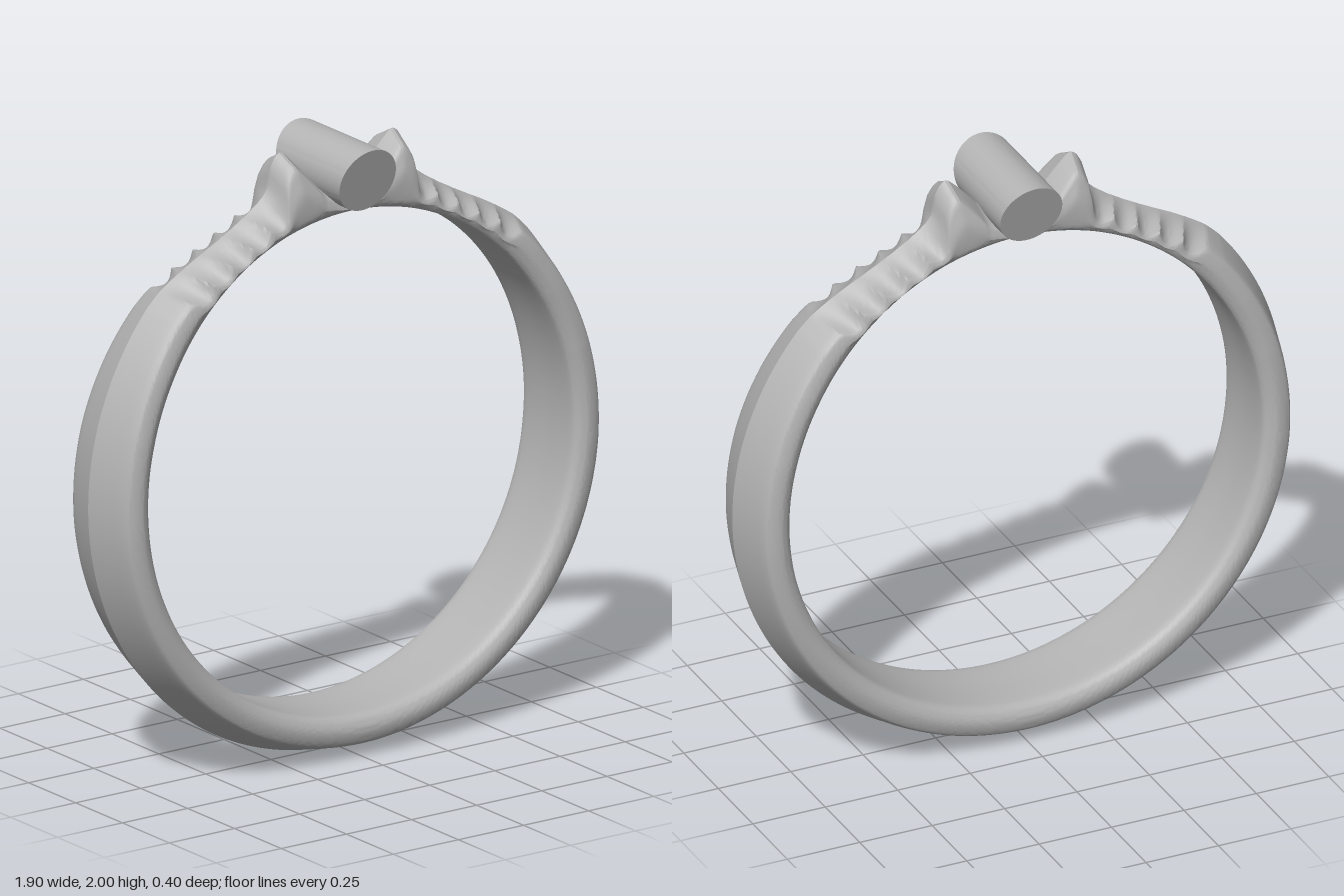
import * as THREE from 'three';
import { toCreasedNormals } from 'three/addons/utils/BufferGeometryUtils.js';

const CY = 0.955, INNER = 0.815;

// Linear lookup in a list of [key, value] pairs
function lookup(table, x) {
  for (let i = 1; i < table.length; i++) {
    const [x0, y0] = table[i - 1], [x1, y1] = table[i];
    if (x <= x1) return y0 + (y1 - y0) * Math.max(0, (x - x0) / (x1 - x0));
  }
  return table[table.length - 1][1];
}

// Ridge radius by degrees from the top: saddle, pointed peak, carved shoulder, plain band
const RIDGE = [
  [0, 0.86], [3, 0.88], [6.8, 0.93], [10.4, 1.022], [11.4, 1.046], [12.2, 1.051], [13.2, 1.04],
  [14.6, 1.012], [15.2, 0.985], [16, 0.957], [17.2, 0.94], [19, 0.927], [22, 0.914], [26, 0.906],
  [30, 0.905], [34, 0.91], [40, 0.926], [46, 0.945], [50, 0.95], [180, 0.955],
];
// Half width of the band by degrees from the top
const WIDTH = [[0, 0.1], [18, 0.104], [30, 0.112], [46, 0.127], [60, 0.143], [75, 0.155], [95, 0.162], [180, 0.163]];

// Depth of the leaf-like scallops along the edges of the shoulders
function scallop(deg, u) {
  const start = 17.5, end = 46.5, d = deg + 2 * u;
  if (d < start || d > end) return 0;
  const t = ((d - start) / (end - start)) * 5;
  return Math.abs(Math.sin(Math.PI * t)) * 0.032 * Math.min(1, u * 1.1);
}

// Half cross-section from the outer ridge round to the middle of the inside
function halfSection(deg, steps) {
  const R = lookup(RIDGE, deg), w = lookup(WIDTH, deg);
  const peak = THREE.MathUtils.clamp((R - 0.955) / 0.09, 0, 1);
  const thick = R - INNER;
  const drop = Math.min(0.043, thick * 0.35);
  const v = (u, r) => new THREE.Vector2(u * w, r);
  const shoulder = 0.86 - 0.16 * peak;
  const anchors = [
    v(0, R), v(shoulder * 0.5, R - drop * 0.48), v(shoulder, R - drop),
    v(0.96 - 0.1 * peak, R - drop * 1.4 - 0.02 * peak),
    v(1, R - drop * 2.1 - 0.04 * peak),
    v(0.97, INNER + 0.028), v(0.88, INNER + 0.008), v(0.7, INNER), v(0, INNER),
  ];
  const curve = new THREE.SplineCurve(anchors);
  const points = [];
  for (let i = 0; i <= steps; i++) {
    const p = curve.getPoint(i / steps);
    const weight = THREE.MathUtils.clamp((p.y - INNER - 0.015) / (thick * 0.5), 0, 1);
    p.y -= scallop(deg, Math.min(1, p.x / w)) * weight;
    points.push(p);
  }
  return points;
}

// Band swept once round the finger, with its shoulders and peaks
function bandGeometry() {
  const around = 600, half = 24, ring = half * 2;
  const positions = [], index = [];
  for (let i = 0; i < around; i++) {
    const a = (i / around) * Math.PI * 2;
    const deg = (Math.min(i, around - i) / around) * 360;
    const side = halfSection(deg, half);
    const section = [...side, ...side.slice(1, -1).reverse().map(p => new THREE.Vector2(-p.x, p.y))];
    for (const p of section) positions.push(p.y * Math.sin(a), CY + p.y * Math.cos(a), p.x);
  }
  for (let i = 0; i < around; i++) {
    const n = (i + 1) % around;
    for (let j = 0; j < ring; j++) {
      const k = (j + 1) % ring;
      const a = i * ring + j, b = n * ring + j, c = i * ring + k, d = n * ring + k;
      index.push(a, c, b, b, c, d);
    }
  }
  const geometry = new THREE.BufferGeometry();
  geometry.setAttribute('position', new THREE.Float32BufferAttribute(positions, 3));
  geometry.setIndex(index);
  return toCreasedNormals(geometry, 0.48);
}

// Crosswise bar whose ends slope inwards towards the bottom
function barGeometry() {
  const radius = 0.106;
  const geometry = new THREE.CylinderGeometry(radius, radius, 2, 64).rotateX(Math.PI / 2);
  const pos = geometry.attributes.position;
  for (let i = 0; i < pos.count; i++) {
    const t = (pos.getY(i) + radius) / (2 * radius);
    pos.setZ(i, Math.sign(pos.getZ(i)) * (0.138 + 0.062 * t));
  }
  return toCreasedNormals(geometry, 0.5);
}

export function createModel() {
  const metal = new THREE.MeshStandardMaterial({ color: 0xb4b4b4 });
  metal.name = 'grey metal';
  const model = new THREE.Group();
  model.name = 'ring';

  const band = new THREE.Mesh(bandGeometry(), metal);
  band.name = 'band';
  const bar = new THREE.Mesh(barGeometry(), metal);
  bar.name = 'crossBar';
  bar.position.y = 1.894;

  model.add(band, bar);
  return model;
}
